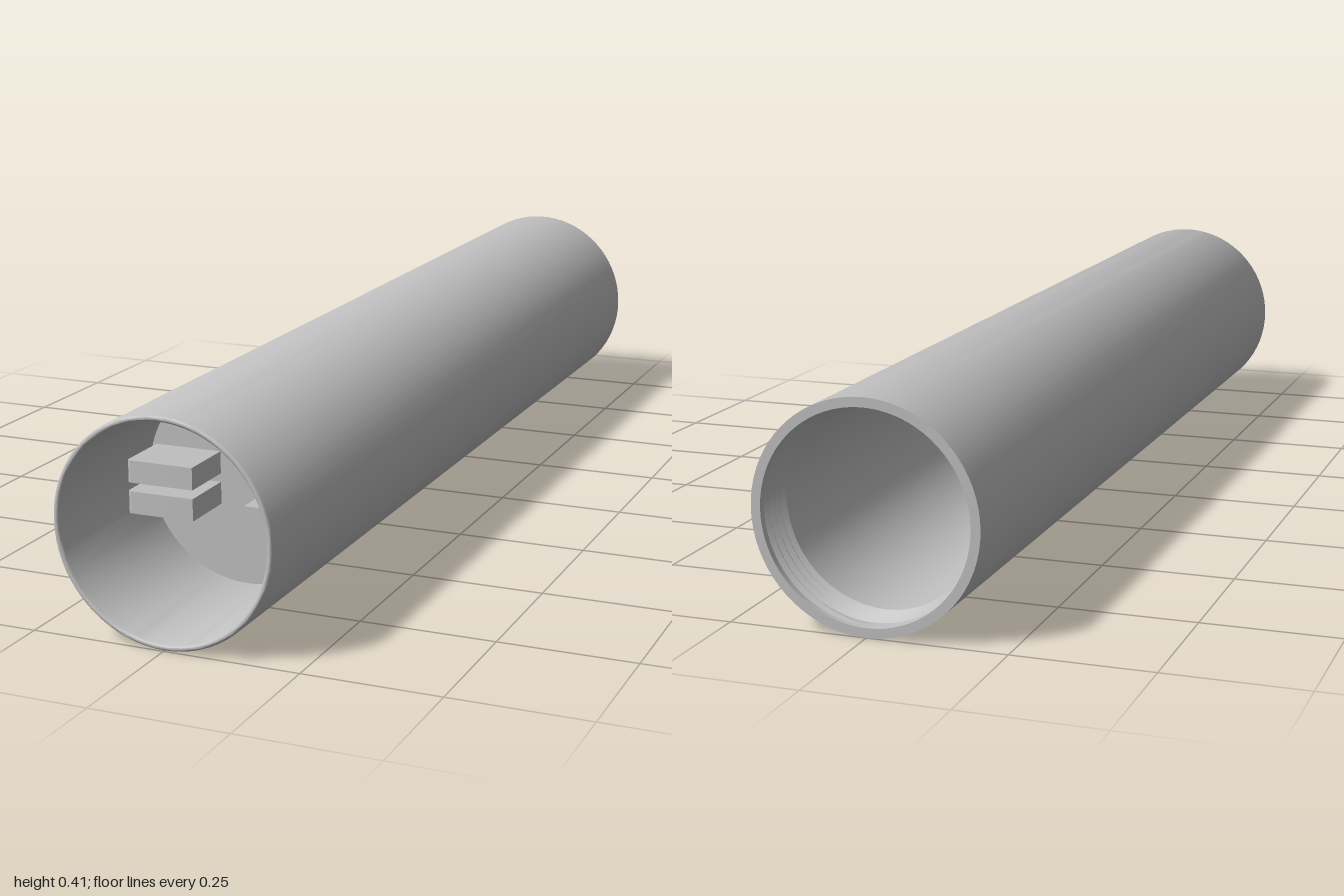
import * as THREE from 'three';
import { toCreasedNormals } from 'three/addons/utils/BufferGeometryUtils.js';

const R = 0.204;          // outer radius, also height of the axis
const FRONT_BORE = 0.193; // bore in front of the bulkhead
const BACK_BORE = 0.187;  // bore behind the bulkhead

// Internal screw thread: a triangular ridge swept along a helix, fading out at both ends
function threadGeometry() {
  const turns = 4, steps = 64 * turns, pitch = 0.021, half = 0.0085, depth = 0.007;
  const pos = [], index = [];
  for (let i = 0; i <= steps; i++) {
    const t = -Math.PI / 2 + (i / steps) * turns * Math.PI * 2;
    const z = -0.983 + (i / steps) * turns * pitch;
    const fade = Math.min(1, i / 6, (steps - i) / 6);
    for (let j = 0; j < 3; j++) {
      const r = j === 1 ? BACK_BORE - depth * fade : BACK_BORE + 0.0005;
      pos.push(r * Math.cos(t), r * Math.sin(t), z + (j - 1) * half);
    }
    if (i === steps) break;
    for (let j = 0; j < 2; j++) {
      const a = i * 3 + j, b = a + 3;
      index.push(a, a + 1, b, b, a + 1, b + 1);
    }
  }
  const geo = new THREE.BufferGeometry();
  geo.setAttribute('position', new THREE.Float32BufferAttribute(pos, 3));
  geo.setIndex(index);
  return toCreasedNormals(geo, 0.5);
}

// Contact block: its outer front corner is rounded
function blockGeometry(side) {
  const r = 0.007, inner = 0.05, outer = 0.179, back = 0.675, front = 0.79, h = 0.041;
  const s = new THREE.Shape();
  s.moveTo(inner, -back);
  s.lineTo(inner, -front);
  s.lineTo(outer - r, -front);
  s.absarc(outer - r, -front + r, r, -Math.PI / 2, 0, false);
  s.lineTo(outer, -back);
  s.closePath();
  const geo = new THREE.ExtrudeGeometry(s, { depth: h, bevelEnabled: false, curveSegments: 6 });
  geo.translate(0, 0, -h / 2);
  geo.rotateX(-Math.PI / 2); // plan drawn in x and -z, thickness along y
  if (side < 0) {
    // mirror, then swap two corners of each face to keep it facing outward
    geo.scale(-1, 1, 1);
    const p = geo.attributes.position, a = new THREE.Vector3(), b = new THREE.Vector3();
    for (let i = 0; i < p.count; i += 3) {
      a.fromBufferAttribute(p, i + 1);
      b.fromBufferAttribute(p, i + 2);
      p.setXYZ(i + 1, b.x, b.y, b.z);
      p.setXYZ(i + 2, a.x, a.y, a.z);
    }
  }
  return toCreasedNormals(geo, 0.6);
}

export function createModel() {
  const metal = new THREE.MeshStandardMaterial({ color: 0xbfbfbf });
  metal.name = 'grey metal';

  const model = new THREE.Group();
  model.name = 'tube';
  const add = (name, geo, y = R) => {
    const mesh = new THREE.Mesh(geo, metal);
    mesh.name = name;
    mesh.position.y = y;
    model.add(mesh);
  };

  // Tube wall, rounded front rim and bulkhead as one turned section
  const lip = (R - FRONT_BORE) / 2;
  const section = [[0, 0.64], [BACK_BORE, 0.64], [BACK_BORE, -1], [R, -1]];
  for (let i = 0; i <= 8; i++) {
    const a = (i / 8) * Math.PI;
    section.push([R - lip + lip * Math.cos(a), 1 - lip + lip * Math.sin(a)]);
  }
  section.push([FRONT_BORE, 0.68], [0, 0.68]);
  const body = new THREE.LatheGeometry(section.map(([x, y]) => new THREE.Vector2(x, y)), 72);
  body.rotateX(Math.PI / 2);
  add('tubeBody', toCreasedNormals(body, 0.6));

  add('backThread', threadGeometry());

  // Two pairs of contact blocks standing on the bulkhead
  for (const side of [1, -1]) {
    for (const [level, y] of [['Upper', 0.2335], ['Lower', 0.1765]]) {
      add((side > 0 ? 'left' : 'right') + level + 'Block', blockGeometry(side), y);
    }
  }
  return model;
}
